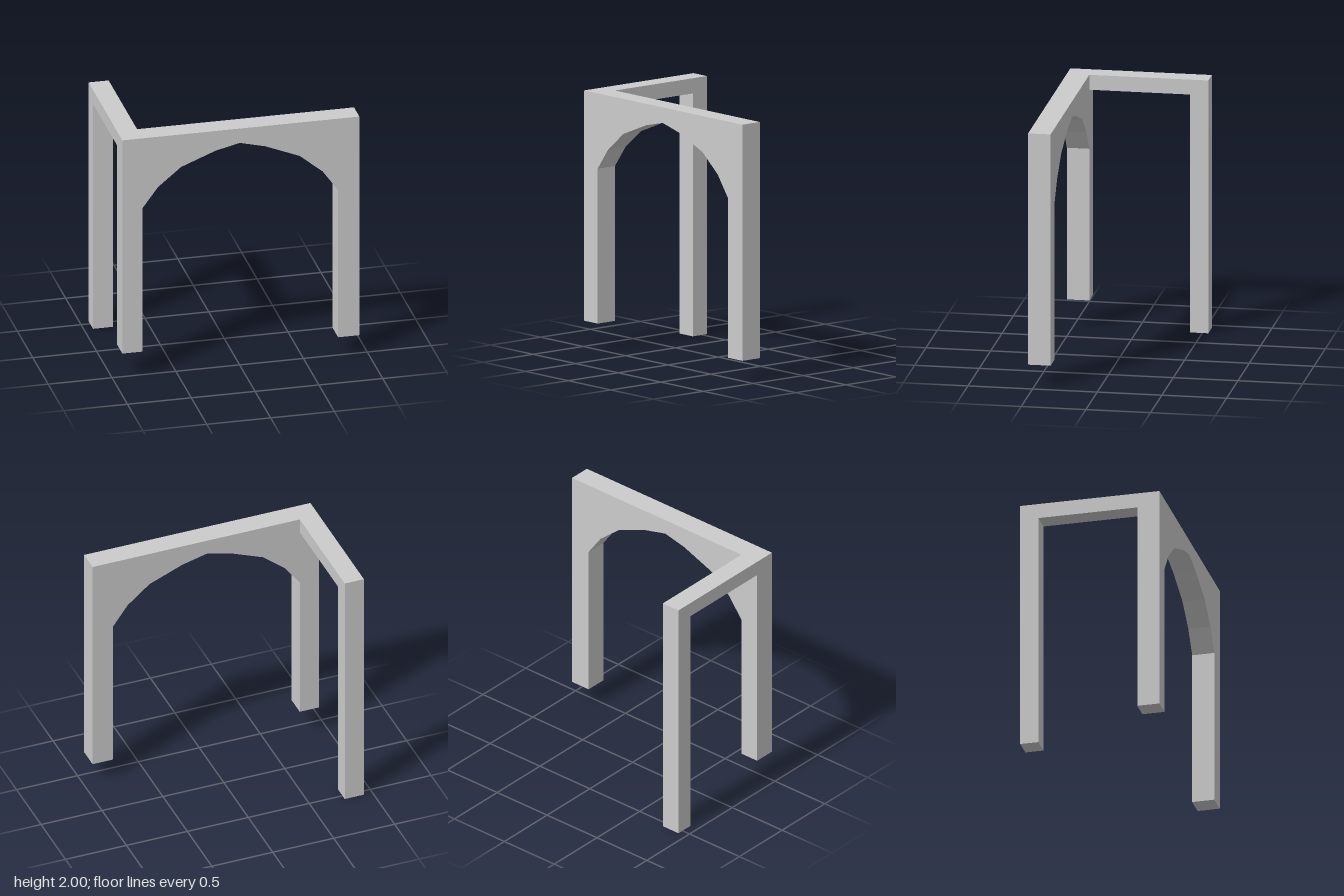
import * as THREE from 'three';

const material = new THREE.MeshStandardMaterial({ color: 0xcccccc, flatShading: true });

// Flat outline pushed out to a given thickness
function slab(points, depth) {
  const shape = new THREE.Shape(points.map(([x, y]) => new THREE.Vector2(x, y)));
  return new THREE.ExtrudeGeometry(shape, { depth, bevelEnabled: false });
}

function addPart(group, name, geometry) {
  const mesh = new THREE.Mesh(geometry, material);
  mesh.name = name;
  group.add(mesh);
}

export function createModel() {
  const group = new THREE.Group();
  group.name = 'cornerArch';

  const left = -0.93, right = 0.927, inner = -0.773;
  const front = 0.547, wallBack = 0.373, back = -0.547;

  // Front wall: two legs of unequal length joined by a faceted arch
  const arch = [
    [inner, 1.415], [-0.65, 1.58], [-0.47, 1.728], [-0.2, 1.835], [-0.01, 1.88],
    [0.19, 1.83], [0.46, 1.72], [0.64, 1.57], [0.76, 1.403],
  ];
  const wall = slab([
    [left, 0.215], [inner, 0.215], ...arch,
    [0.76, 0.17], [right, 0.17], [right, 2], [left, 2],
  ], front - wallBack);
  wall.translate(0, 0, wallBack);
  addPart(group, 'archWall', wall);

  // Side frame: beam running back to a longer rear leg, outlined in z and y
  const side = slab([
    [back, 0], [-0.405, 0], [-0.405, 1.882], [wallBack, 1.882], [wallBack, 2], [back, 2],
  ], inner - left);
  side.rotateY(-Math.PI / 2);
  side.translate(inner, 0, 0);
  addPart(group, 'sideBeamAndRearLeg', side);

  return group;
}
